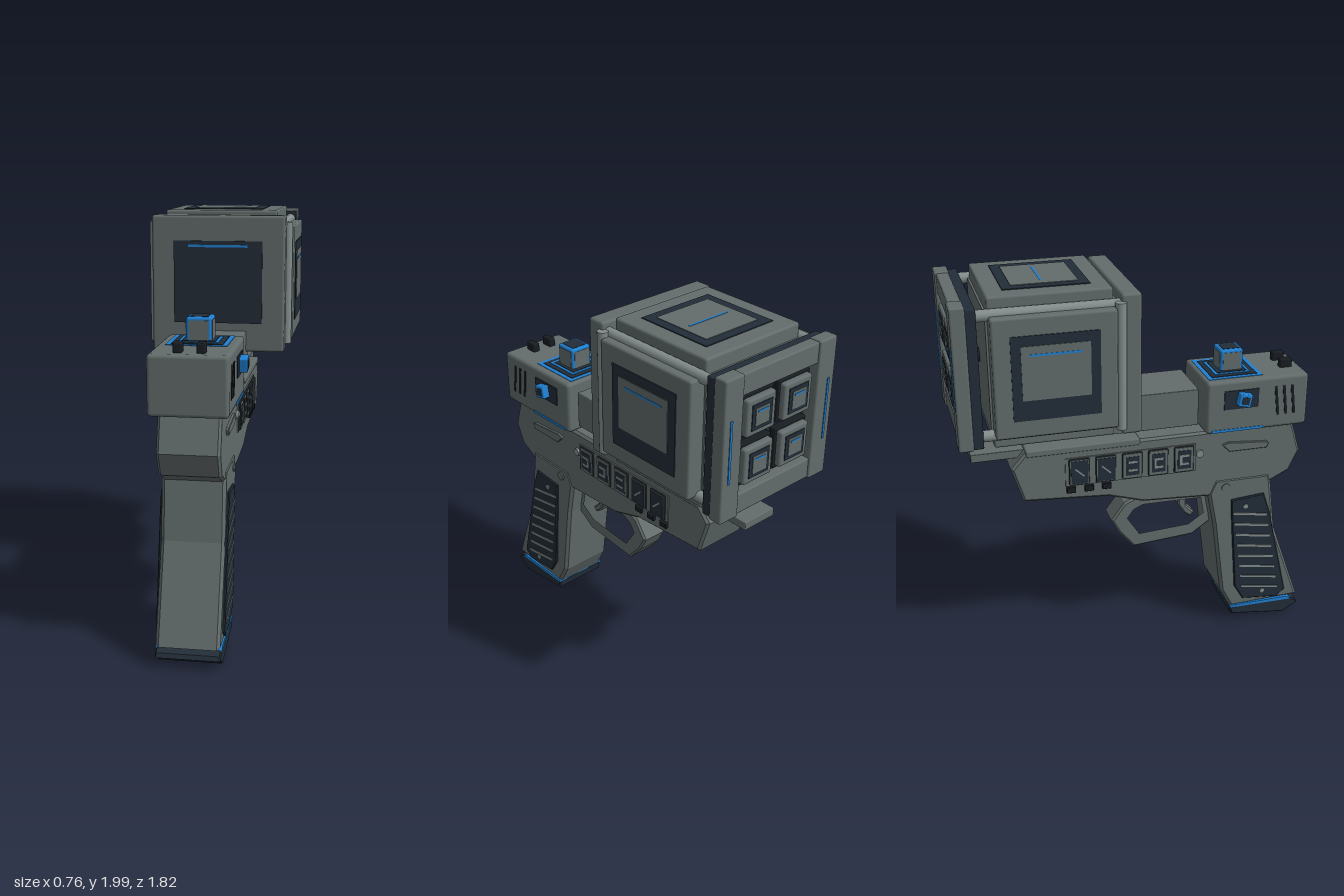
import * as THREE from 'three';
import { RoundedBoxGeometry } from 'three/addons/geometries/RoundedBoxGeometry.js';

const paint = (name, color) => Object.assign(new THREE.MeshStandardMaterial({ color }), { name });
const grey = paint('gunmetal grey', 0x636c6c);
const light = paint('light grey', 0x838c8c);
const dark = paint('dark slate', 0x222d38);
const black = paint('near black', 0x181d22);
const blue = paint('bright blue', 0x1f80d2);

export function createModel() {
  const root = new THREE.Group();

  const add = (name, geo, mat, x = 0, y = 0, z = 0, parent = root) => {
    const m = new THREE.Mesh(geo, mat);
    m.name = name;
    m.position.set(x, y, z);
    parent.add(m);
    return m;
  };
  // Box centred on x, y, z; r rounds its edges
  const box = (name, mat, w, h, d, x, y, z, r = 0, parent = root) =>
    add(name, r ? new RoundedBoxGeometry(w, h, d, 2, r) : new THREE.BoxGeometry(w, h, d), mat, x, y, z, parent);
  // Side outline given as [z, y], extruded across x and centred on x
  const side = (name, mat, pts, width, x = 0, bevel = 0, hole) => {
    const vec = (list) => list.map(([z, y]) => new THREE.Vector2(-z, y));
    const shape = new THREE.Shape(vec(pts));
    if (hole) shape.holes.push(new THREE.Path(vec(hole)));
    const geo = new THREE.ExtrudeGeometry(shape, {
      depth: width - 2 * bevel, bevelEnabled: bevel > 0, bevelSize: bevel,
      bevelThickness: bevel, bevelOffset: -bevel, bevelSegments: 1,
    });
    geo.translate(0, 0, bevel - width / 2);
    geo.rotateY(Math.PI / 2);
    return add(name, geo, mat, x);
  };
  const rod = (name, mat, r, len, axis, x, y, z, sides = 16) => {
    const m = add(name, new THREE.CylinderGeometry(r, r, len, sides), mat, x, y, z);
    if (axis === 'x') m.rotation.z = Math.PI / 2;
    if (axis === 'z') m.rotation.x = Math.PI / 2;
    return m;
  };

  // Frame, grip and base
  side('frame', grey, [[0.81, 1.155], [0.86, 0.99], [0.81, 0.88], [0.71, 0.83], [0.37, 0.785], [0.02, 0.805],
    [-0.16, 0.86], [-0.59, 0.89], [-0.645, 1.07], [-0.57, 1.155]], 0.285, 0, 0.012);
  side('grip', grey, [[0.7, 0.88], [0.71, 0.83], [0.745, 0.55], [0.905, 0.1], [0.515, 0.085], [0.455, 0.2],
    [0.4, 0.62], [0.365, 0.8], [0.4, 0.88]], 0.295, 0, 0.015);
  side('gripBase', dark, [[0.91, 0.05], [0.825, 0], [0.52, 0.04], [0.512, 0.085], [0.85, 0.09], [0.9, 0.07]], 0.3, 0, 0.006);
  side('gripBaseTrim', blue, [[0.87, 0.08], [0.513, 0.082], [0.513, 0.096], [0.84, 0.1]], 0.304);

  // Trigger and guard
  side('triggerGuard', grey, [[0.39, 0.8], [0.02, 0.808], [-0.06, 0.77], [-0.13, 0.675], [-0.09, 0.6], [-0.01, 0.505],
    [0.31, 0.53], [0.41, 0.6]], 0.14, 0, 0.01,
  [[0.36, 0.757], [0.035, 0.76], [-0.02, 0.735], [-0.058, 0.68], [0.013, 0.57], [0.29, 0.588], [0.38, 0.65]]);
  side('trigger', grey, [[0.29, 0.79], [0.24, 0.79], [0.24, 0.7], [0.275, 0.645], [0.31, 0.62], [0.33, 0.645],
    [0.285, 0.69]], 0.07, 0, 0.008);

  // Top rail, tongue and connecting bar
  box('topRail', grey, 0.3, 0.035, 0.57, 0, 1.147, -0.285, 0.008);
  box('railTongue', grey, 0.19, 0.042, 0.28, 0, 1.132, -0.69, 0.004);
  box('connectingBar', grey, 0.285, 0.19, 0.44, 0, 1.295, 0.08, 0.004);

  // Housing over the grip
  box('housing', grey, 0.36, 0.275, 0.535, 0, 1.293, 0.598, 0.018);
  [[0.28, blue], [0.235, dark], [0.185, blue], [0.155, dark]].forEach(([s, mat], i) =>
    box('dialPlate', mat, s, 0.006, s, 0, 1.43 + i * 0.003, 0.492));
  box('topKnob', blue, 0.118, 0.115, 0.118, 0, 1.49, 0.497, 0.012);
  for (const s of [-1, 1]) {
    box('knobSide', grey, 0.006, 0.095, 0.092, s * 0.058, 1.485, 0.497);
    box('knobFace', grey, 0.092, 0.095, 0.006, 0, 1.485, 0.497 + s * 0.058);
    box('sightLug', black, 0.038, 0.05, 0.065, s * 0.052, 1.45, 0.785, 0.008);
  }
  box('knobTop', dark, 0.085, 0.006, 0.085, 0, 1.546, 0.497);

  for (const s of [-1, 1]) {
    // Housing sides: dial, vents and trim
    box('sidePanel', dark, 0.008, 0.098, 0.18, s * 0.181, 1.331, 0.51);
    const dial = new THREE.Group();
    dial.name = 'sideDial';
    dial.position.set(s * 0.2, 1.335, 0.518);
    dial.rotation.x = 0.2;
    root.add(dial);
    box('dialBody', blue, 0.044, 0.066, 0.066, 0, 0, 0, 0.006, dial);
    box('dialCentre', dark, 0.004, 0.038, 0.038, s * 0.022, 0, 0, 0, dial);
    box('housingTrim', blue, 0.006, 0.014, 0.27, s * 0.18, 1.168, 0.495);
    for (let i = 0; i < 3; i++)
      box('ventSlit', black, 0.006, 0.155, 0.014, s * 0.18, 1.302, 0.785 - i * 0.043).rotation.x = -0.12;

    // Frame sides: catch, pins and row of buttons
    side('slideCatch', grey, [[0.68, 1.06], [0.67, 1.035], [0.47, 1.035], [0.43, 1.075], [0.46, 1.087], [0.67, 1.07]],
      0.02, s * 0.146, 0.003);
    rod('framePin', light, 0.02, 0.02, 'x', s * 0.146, 1.043, 0.312);
    rod('triggerPin', grey, 0.024, 0.02, 'x', s * 0.144, 0.828, 0.46);
    box('buttonStrip', grey, 0.01, 0.15, 0.67, s * 0.144, 1.025, -0.045);
    for (let i = 0; i < 5; i++) {
      const z = 0.227 - i * 0.1345;
      box('buttonBezel', black, 0.022, 0.142, 0.104, s * 0.146, 1.025, z, 0.008);
      box('buttonRim', grey, 0.008, 0.132, 0.094, s * 0.155, 1.025, z);
      box('buttonFace', dark, 0.008, i < 3 ? 0.1 : 0.122, i < 3 ? 0.07 : 0.086, s * 0.157, 1.025, z);
      if (i < 3) {
        for (const dy of [-0.022, 0.022]) box('buttonMark', light, 0.005, 0.012, 0.048, s * 0.161, 1.025 + dy, z);
        if (i < 2) box('buttonMark', light, 0.005, 0.05, 0.012, s * 0.161, 1.025, z - 0.018);
      } else {
        box('buttonSlash', light, 0.005, 0.008, 0.062, s * 0.161, 1.025, z).rotation.x = 0.75;
      }
    }
    for (let i = 0; i < 3; i++) box('lowerStud', black, 0.02, 0.032, 0.046, s * 0.147, 0.929, -0.173 - i * 0.09, 0.004);

    // Grip panel with slanted ribs and screws
    side('gripPanel', dark, [[0.67, 0.77], [0.49, 0.755], [0.5, 0.6], [0.53, 0.22], [0.58, 0.135], [0.78, 0.115],
      [0.825, 0.155], [0.71, 0.65]], 0.022, s * 0.148, 0.005);
    for (let i = 0; i < 8; i++) {
      const t = i / 7;
      box('gripRib', light, 0.008, 0.012, 0.19 + t * 0.025, s * 0.159, 0.66 - t * 0.46, 0.597 + t * 0.075).rotation.x = 0.17;
    }
    for (const [z, y] of [[0.57, 0.71], [0.69, 0.17]]) rod('gripScrew', light, 0.013, 0.008, 'x', s * 0.159, y, z, 10);
  }

  // Cube head: core, front plate and edge rods
  const CY = 1.625, CZ = -0.45;
  box('headCore', grey, 0.58, 0.58, 0.61, 0, CY, -0.44);
  box('frontPlate', grey, 0.67, 0.68, 0.095, 0, CY, -0.0925, 0.014);
  box('frontScreen', dark, 0.445, 0.41, 0.009, 0, 1.635, -0.042);
  box('frontLine', blue, 0.3, 0.012, 0.005, 0, 1.815, -0.037);
  for (const s of [-1, 1]) {
    rod('cornerPost', light, 0.026, 0.61, 'y', s * 0.338, CY, -0.145);
    for (const t of [-1, 1]) rod('edgeRod', light, 0.027, 0.66, 'z', s * 0.3, CY + t * 0.285, -0.46);
  }
  // Panel for one face of the head, built facing +z
  const facePanel = (name, reach, rx, ry, dy, lineY) => {
    const g = new THREE.Group();
    g.name = name;
    g.position.set(0, CY, CZ);
    g.rotation.set(rx, ry, 0);
    root.add(g);
    box('panelSlab', grey, 0.57, 0.57, 0.09, 0, 0, reach - 0.045, 0.012, g);
    box('panelFrame', dark, 0.405, 0.4, 0.009, 0, 0, reach, 0, g);
    box('panelInset', grey, 0.315, dy ? 0.255 : 0.31, 0.009, 0, dy, reach + 0.003, 0, g);
    box('panelLine', blue, 0.235, 0.01, 0.004, 0, lineY, reach + 0.007, 0, g);
  };
  const q = Math.PI / 2;
  facePanel('rightSidePanel', 0.37, 0, -q, 0.025, 0.11);
  facePanel('leftSidePanel', 0.37, 0, q, 0.025, 0.11);
  facePanel('topPanel', 0.36, -q, 0, 0, 0.01);
  facePanel('bottomPanel', 0.36, q, 0, 0, 0.01);

  // Rear assembly: piston, dark plate and frame
  rod('piston', black, 0.034, 0.08, 'z', 0, CY, -0.77);
  box('rearPlate', dark, 0.665, 0.66, 0.05, 0, CY - 0.005, -0.812, 0.006);
  for (const s of [-1, 1]) {
    box('rearColumn', grey, 0.11, 0.68, 0.07, s * 0.285, CY, -0.868, 0.01);
    box('rearBar', grey, 0.47, 0.1, 0.06, 0, CY + s * 0.285, -0.864, 0.008);
    box('rearLine', blue, 0.012, 0.3, 0.006, s * 0.3, CY, -0.904);
    // Four rear buttons
    for (const t of [-1, 1]) {
      const x = s * 0.113, y = CY + t * 0.115;
      box('rearButtonBase', black, 0.2, 0.2, 0.04, x, y, -0.85, 0.006);
      box('rearButton', grey, 0.175, 0.175, 0.06, x, y, -0.868, 0.012);
      box('rearButtonFrame', dark, 0.12, 0.12, 0.006, x, y, -0.899);
      box('rearButtonInset', grey, 0.085, 0.085, 0.006, x, y, -0.902);
      box('rearButtonLine', blue, 0.06, 0.009, 0.004, x, y + 0.026, -0.905);
    }
  }
  return root;
}
